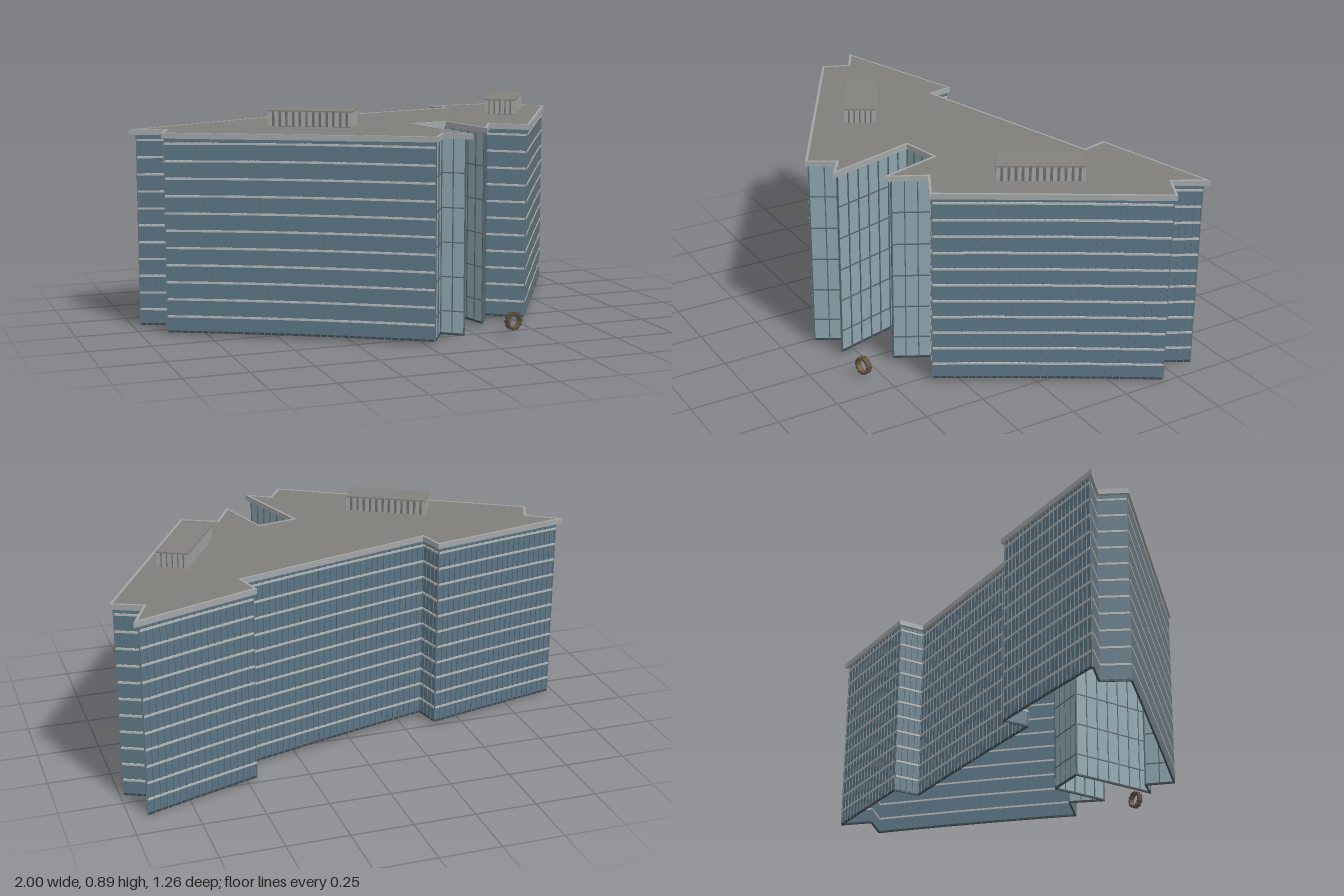
import * as THREE from 'three';
import { mergeGeometries } from 'three/addons/utils/BufferGeometryUtils.js';

// Roof outline as [x, z], running left wing -> back -> right wing -> entrance -> front
const OUTLINE = [
  [-1, -0.1], [-0.37, -0.265], [-0.345, -0.16], [0.48, -0.38], [0.45, -0.49], [0.95, -0.635],
  [0.885, -0.5], [1, -0.44], [0.54, 0.365], [0.4, 0.29], [0.32, 0.44], [0.25, 0.18],
  [0.095, 0.21], [0.195, 0.59], [0.1, 0.527], [0.035, 0.63], [-0.91, 0.083], [-0.865, -0.025],
];
const ENTRANCE_FIRST = 9, ENTRANCE_LAST = 14; // edges with pale, large-paned glazing
const BASE = 0.022, WALL_TOP = 0.803, ROOF_TOP = 0.822;

const material = (color) => new THREE.MeshStandardMaterial({ color, side: THREE.DoubleSide });

// The whole building sinks very slightly away from its centre
function sag(geometry) {
  const p = geometry.attributes.position;
  for (let i = 0; i < p.count; i++) {
    p.setY(i, p.getY(i) - 0.016 * (p.getX(i) ** 2 + p.getZ(i) ** 2));
  }
  geometry.computeVertexNormals();
  return geometry;
}

// Outward unit normal of the edge a -> b
function edgeNormal(a, b) {
  const dx = b[0] - a[0], dz = b[1] - a[1], l = Math.hypot(dx, dz);
  return [dz / l, -dx / l];
}

// Mitred inset of a closed outline
function inset(points, d) {
  const n = points.length;
  return points.map((p, i) => {
    const a = edgeNormal(points[(i + n - 1) % n], p);
    const b = edgeNormal(p, points[(i + 1) % n]);
    const k = d / (1 + a[0] * b[0] + a[1] * b[1]);
    return [p[0] - (a[0] + b[0]) * k, p[1] - (a[1] + b[1]) * k];
  });
}

const toVectors = (points) => points.map(([x, z]) => new THREE.Vector2(x, -z));

function slab(points, hole, y, height) {
  const shape = new THREE.Shape(toVectors(points));
  if (hole) shape.holes.push(new THREE.Path(toVectors(hole)));
  const g = new THREE.ExtrudeGeometry(shape, { depth: height, bevelEnabled: false });
  return sag(g.rotateX(-Math.PI / 2).translate(0, y, 0));
}

function addMesh(group, name, geometry, mat) {
  const mesh = new THREE.Mesh(geometry, mat);
  mesh.name = name;
  group.add(mesh);
  return mesh;
}

// Box of given size centred at x, y, z
function box(w, h, d, x, y, z, segments = 1) {
  return new THREE.BoxGeometry(w, h, d, segments, 1, 1).translate(x, y, z);
}

function buildFacades(group) {
  const parts = {
    glassWalls: [], mullions: [], floorBands: [], plinth: [], entranceGlass: [], entranceFrames: [],
  };
  const walls = inset(OUTLINE, 0.012);
  const h = WALL_TOP - BASE, midY = (WALL_TOP + BASE) / 2;

  walls.forEach((a, i) => {
    const b = walls[(i + 1) % walls.length];
    const entrance = i >= ENTRANCE_FIRST && i <= ENTRANCE_LAST;
    const length = Math.hypot(b[0] - a[0], b[1] - a[1]);
    const panes = Math.max(2, Math.round(length / (entrance ? 0.05 : 0.028)));
    const [nx, nz] = edgeNormal(a, b);
    // Pieces are made facing +z, then turned and moved onto their edge
    const put = (list, g) => list.push(sag(
      g.rotateY(Math.atan2(nx, nz)).translate((a[0] + b[0]) / 2, 0, (a[1] + b[1]) / 2)));

    put(entrance ? parts.entranceGlass : parts.glassWalls,
      new THREE.PlaneGeometry(length, h, panes, 1).translate(0, midY, 0));
    put(parts.plinth, box(length, 0.008, 0.006, 0, BASE + 0.004, 0, panes));

    for (let k = 0; k <= panes; k++) {
      const x = (k / panes - 0.5) * length;
      put(entrance ? parts.entranceFrames : parts.mullions,
        box(0.004, h, 0.006, x, midY, 0.001));
    }
    const rows = entrance ? 5 : 11;
    for (let k = 0; k < rows; k++) {
      const y = entrance ? 0.118 + k * 0.137 : 0.088 + k * 0.069;
      put(entrance ? parts.entranceFrames : parts.floorBands,
        box(length, entrance ? 0.004 : 0.008, 0.008, 0, y, 0.001, panes));
    }
  });

  const colors = {
    glassWalls: 0x587485, mullions: 0x64737c, floorBands: 0xb4b6b4,
    plinth: 0x3c474e, entranceGlass: 0x8ba4ae, entranceFrames: 0x56656c,
  };
  for (const name in parts) {
    addMesh(group, name, mergeGeometries(parts[name]), material(colors[name]));
  }
}

// Louvred plant room: lid, recessed core and upright slats
function plantRoom(name, x, z, turn) {
  const g = new THREE.Group();
  g.name = name;
  const L = 0.337, W = 0.128, y0 = 0.83, y1 = 0.892;
  const mid = (y0 + y1) / 2, tall = y1 - y0;
  addMesh(g, 'plantCore', box(L - 0.012, tall, W - 0.012, 0, mid - 0.002, 0), material(0x6c6c6a));
  addMesh(g, 'plantLid', box(L, 0.006, W, 0, y1 - 0.003, 0), material(0x83817d));
  const slats = [];
  const row = (count, span, place) => {
    for (let i = 0; i <= count; i++) place((i / count - 0.5) * (span - 0.016));
  };
  for (const s of [-1, 1]) {
    row(12, L, (t) => slats.push(box(0.016, tall - 0.006, 0.008, t, mid - 0.003, s * (W / 2 - 0.004))));
    row(5, W, (t) => slats.push(box(0.008, tall - 0.006, 0.016, s * (L / 2 - 0.004), mid - 0.003, t)));
  }
  addMesh(g, 'plantSlats', mergeGeometries(slats), material(0xa3a3a0));
  g.position.set(x, 0, z);
  g.rotation.y = turn;
  return g;
}

// Upright ring sculpture made of a hoop with blocks around it
function ringSculpture() {
  const g = new THREE.Group();
  g.name = 'ringSculpture';
  const shape = new THREE.Shape().absarc(0, 0, 0.034, 0, Math.PI * 2);
  shape.holes.push(new THREE.Path().absarc(0, 0, 0.027, 0, Math.PI * 2));
  const hoop = new THREE.ExtrudeGeometry(shape, { depth: 0.016, bevelEnabled: false, curveSegments: 12 });
  addMesh(g, 'hoop', hoop.translate(0, 0, -0.008), material(0x6b5843));
  const blocks = [];
  for (let i = 0; i < 12; i++) {
    blocks.push(box(0.013, 0.009, 0.024, 0, 0.0315, 0).rotateZ((i * Math.PI) / 6));
  }
  addMesh(g, 'ringBlocks', mergeGeometries(blocks), material(0x5a4a3a));
  g.position.set(0.383, 0.062, 0.575);
  g.rotation.y = 0.28;
  return g;
}

export function createModel() {
  const model = new THREE.Group();
  model.name = 'officeBuilding';

  buildFacades(model);

  // Roof deck with a pale trim around its edge
  const inner = inset(OUTLINE, 0.01);
  addMesh(model, 'roofDeck', slab(inner, null, ROOF_TOP - 0.022, 0.02), material(0x807e7a));
  addMesh(model, 'roofTrim', slab(OUTLINE, inner, ROOF_TOP - 0.022, 0.022), material(0xa2a5a6));

  model.add(plantRoom('rightPlantRoom', -0.323, 0.195, -0.513));
  model.add(plantRoom('leftPlantRoom', 0.625, -0.07, 1.044));
  model.add(ringSculpture());
  return model;
}
